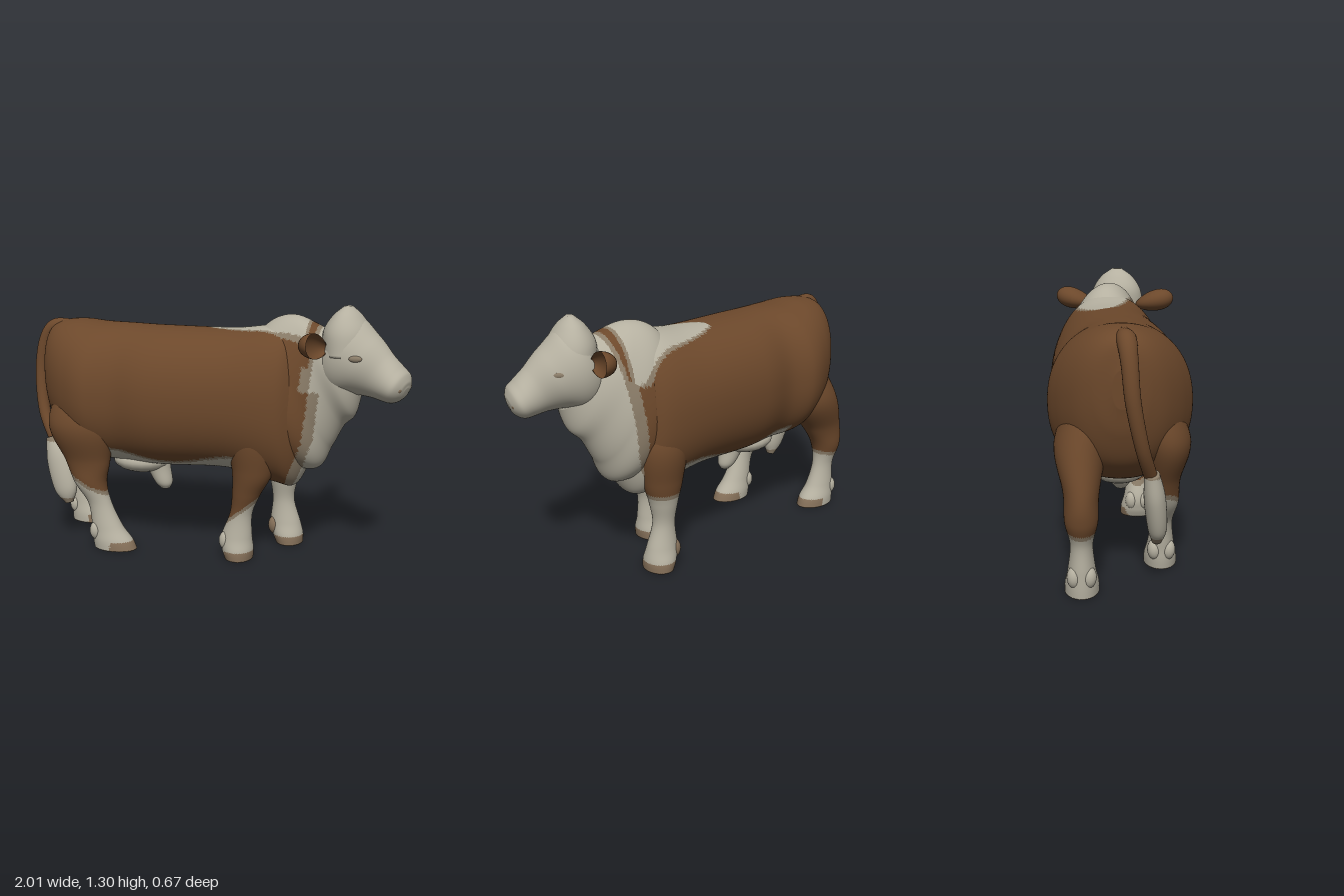
import * as THREE from 'three';

const mat = (name, color) => {
  const m = new THREE.MeshStandardMaterial({ color });
  m.name = name;
  return m;
};
const brown = mat('brownCoat', 0x6c482b);
const cream = mat('creamCoat', 0xb5b0a0);
const tan = mat('blendedCoat', 0x8a7c68);
const horn = mat('hoofHorn', 0x857059);
const palette = [brown, cream, tan, horn];
const BROWN = 0, CREAM = 1, TAN = 2, HORN = 3;

const V = (x, y, z) => new THREE.Vector3(x, y, z);
const TURN = 0.26; // the head is turned a little to its left
const HEAD_SIDE = V(-Math.sin(TURN), 0, Math.cos(TURN));

// Smooth skin over elliptical sections [x, y, z, radius across, radius sideways].
// axis fixes the plane of the rings; otherwise they follow the path. paint(x, y, z) picks the colour.
function loft(name, sections, { axis, side = V(0, 0, 1), power = 1, rows = 60, cols = 40, paint = () => CREAM }) {
  const path = new THREE.CatmullRomCurve3(sections.map(s => V(s[0], s[1], s[2])), false, 'catmullrom');
  const size = new THREE.CatmullRomCurve3(sections.map(s => V(s[3], s[4] ?? s[3], 0)), false, 'catmullrom');
  const pos = [], buckets = palette.map(() => []);
  const round = v => Math.sign(v) * Math.abs(v) ** power;
  for (let i = -1; i <= rows + 1; i++) {
    const t = Math.min(Math.max(i / rows, 0), 1);
    const c = path.getPoint(t), r = size.getPoint(t);
    const T = axis || path.getTangent(t);
    const n = side.clone().cross(T).normalize();
    const s = T.clone().cross(n).normalize();
    const k = i < 0 || i > rows ? 0.001 : 1; // closed ends
    for (let j = 0; j < cols; j++) {
      const a = (j / cols) * Math.PI * 2;
      const p = c.clone()
        .addScaledVector(n, k * r.x * round(Math.sin(a)))
        .addScaledVector(s, k * r.y * round(Math.cos(a)));
      pos.push(p.x, p.y, p.z);
    }
  }
  const mid = (a, b, c, o) => (pos[a * 3 + o] + pos[b * 3 + o] + pos[c * 3 + o]) / 3;
  const tri = (a, b, c) => buckets[paint(mid(a, b, c, 0), mid(a, b, c, 1), mid(a, b, c, 2))].push(a, b, c);
  for (let i = 0; i < rows + 2; i++) {
    for (let j = 0; j < cols; j++) {
      const a = i * cols + j, b = i * cols + (j + 1) % cols;
      tri(a, a + cols, b);
      tri(b, a + cols, b + cols);
    }
  }
  const geo = new THREE.BufferGeometry();
  geo.setAttribute('position', new THREE.Float32BufferAttribute(pos, 3));
  geo.setIndex(buckets.flat());
  let start = 0;
  buckets.forEach((b, m) => {
    if (b.length) geo.addGroup(start, b.length, m);
    start += b.length;
  });
  geo.computeVertexNormals();
  const mesh = new THREE.Mesh(geo, palette);
  mesh.name = name;
  return mesh;
}

function blob(name, material, [x, y, z], [sx, sy, sz], turn = 0) {
  const mesh = new THREE.Mesh(new THREE.SphereGeometry(1, 20, 14), material);
  mesh.name = name;
  mesh.position.set(x, y, z);
  mesh.scale.set(sx, sy, sz);
  mesh.rotation.y = turn;
  return mesh;
}

// Coat markings: pale saddle, pale chest and throat, pale belly
function coat(x, y, z) {
  const saddle = x > -0.05
    ? Math.min(0.16 * Math.sqrt((x + 0.05) / 0.5) - Math.abs(z + 0.075), 0.5 - x, y - (z > 0 ? 1.14 : 1)) : -1;
  const edge = y < 0.65 ? 0.4 + 0.4 * (y - 0.4) : 0.5 + 0.12 * (y - 0.65);
  const chest = x - edge - (y < 0.9 ? 0.05 * THREE.MathUtils.smoothstep(z, -0.02, 0.06) : 0);
  const belly = Math.min(0.52 + 0.03 * Math.sin(x * 9) - y, x + 0.52, 0.3 - x);
  if (saddle > 0 || chest > 0 || belly > 0) return CREAM;
  return saddle > -0.015 || chest > (y > 1.02 ? -0.02 : -0.05) || belly > -0.015 ? TAN : BROWN;
}

// Leg markings: horn sole and toe, pale sock with a sloping top, brown above
const sock = (top, slope, cx, toe) => (x, y) => {
  if (y < 0.014 || (y < 0.058 && x > toe)) return HORN;
  const d = top + slope * (x - cx) - y;
  return d > 0 ? CREAM : d > -0.02 ? TAN : BROWN;
};

// Leg shapes from the top down to the hoof, shared by each pair
const legY = [0.92, 0.68, 0.48, 0.36, 0.25, 0.13, 0.06, 0.012];
const foreShape = {
  across: [0.1, 0.13, 0.105, 0.074, 0.058, 0.08, 0.082, 0.072],
  sideways: [0.08, 0.105, 0.09, 0.07, 0.054, 0.07, 0.088, 0.09],
};
const hindShape = {
  across: [0.12, 0.18, 0.125, 0.088, 0.065, 0.085, 0.11, 0.118],
  sideways: [0.09, 0.12, 0.08, 0.074, 0.051, 0.062, 0.076, 0.079],
};

function leg(name, shape, z, xs, paint, clawMaterial) {
  const group = new THREE.Group();
  group.name = name;
  const sections = legY.map((y, i) => [xs[i], y, i ? z : z * 0.6, shape.across[i], shape.sideways[i]]);
  group.add(loft(name + 'Skin', sections, { axis: V(0, -1, 0), rows: 90, cols: 44, paint }));
  for (const s of [1, -1]) {
    group.add(blob('dewclaw', clawMaterial, [xs[5] - 0.05, 0.105, z + s * 0.032], [0.036, 0.05, 0.034]));
  }
  return group;
}

export function createModel() {
  const cow = new THREE.Group();
  cow.name = 'cow';

  // Barrel from rump to brisket: x, centre height, half height, half width
  cow.add(loft('body', [
    [-0.925, 0.95, 0.08, 0.04], [-0.9, 0.94, 0.2, 0.13], [-0.84, 0.895, 0.29, 0.21], [-0.73, 0.855, 0.343, 0.285],
    [-0.6, 0.828, 0.36, 0.328], [-0.45, 0.82, 0.365, 0.295], [-0.25, 0.814, 0.365, 0.318], [0.1, 0.817, 0.361, 0.302],
    [0.34, 0.8, 0.4, 0.275], [0.44, 0.765, 0.375, 0.215], [0.51, 0.71, 0.2, 0.1],
  ].map(([x, y, h, w]) => [x, y, -0.04 * THREE.MathUtils.smoothstep(x, -0.5, 0.3), h, w]),
  { axis: V(1, 0, 0), power: 0.92, rows: 210, cols: 130, paint: coat }));

  // Neck with crest and throat, rings leaning back
  cow.add(loft('neck', [
    [0.2, 0.77, -0.04, 0.29, 0.2], [0.38, 0.82, -0.045, 0.375, 0.23], [0.47, 0.92, -0.05, 0.35, 0.2],
    [0.55, 0.985, -0.035, 0.3, 0.165], [0.63, 1.0, -0.01, 0.248, 0.145], [0.7, 1.03, 0.01, 0.16, 0.11],
  ], { axis: V(0.9, 0.43, 0).normalize(), rows: 100, cols: 90, paint: coat }));

  // Head and muzzle: x, centre height, half height, half width
  cow.add(loft('head', [
    [0.57, 1.11, 0.08, 0.07], [0.63, 1.085, 0.18, 0.14], [0.7, 1.06, 0.2, 0.16], [0.78, 1.03, 0.158, 0.143],
    [0.86, 0.99, 0.118, 0.108], [0.92, 0.958, 0.095, 0.113], [0.958, 0.94, 0.08, 0.108], [0.982, 0.93, 0.05, 0.07],
    [0.99, 0.927, 0.02, 0.03],
  ].map(([x, y, h, w]) => [x, y, 0.27 * (x - 0.67), h, w]),
  { side: HEAD_SIDE, rows: 70, cols: 48, paint: x => (x < 0.59 ? TAN : CREAM) }));

  // Domed poll and forehead
  cow.add(loft('poll', [
    [0.7, 1.08, 0.015, 0.12, 0.155], [0.69, 1.19, 0.015, 0.112, 0.138],
    [0.688, 1.265, 0.015, 0.068, 0.092], [0.69, 1.312, 0.015, 0.018, 0.028],
  ], { axis: V(0, 1, 0), side: HEAD_SIDE, rows: 30, cols: 40 }));

  // Cupped ear: the front half of a ball pushed inward
  const earGeo = new THREE.SphereGeometry(1, 32, 24);
  const ep = earGeo.attributes.position;
  for (let i = 0; i < ep.count; i++) {
    const x = ep.getX(i), z = ep.getZ(i);
    ep.setXYZ(i, (x > 0 ? -0.5 * x : x) * 0.08, ep.getY(i) * 0.068 * (0.85 + 0.2 * z), z * 0.11);
  }
  earGeo.computeVertexNormals();

  for (const s of [1, -1]) {
    const at = (x, y, z, d) => [x + HEAD_SIDE.x * s * d, y, z + HEAD_SIDE.z * s * d];
    const ear = new THREE.Mesh(earGeo, brown);
    ear.name = 'ear';
    ear.position.set(...at(0.648, 1.138, 0, 0.235));
    ear.rotation.set(-0.25, s > 0 ? -TURN : Math.PI - TURN, 0, 'YXZ');
    ear.scale.x = s; // mirrored so the cup always faces forward
    cow.add(ear);
    cow.add(blob('eye', tan, at(0.79, 1.08, 0.035, 0.131), [0.032, 0.016, 0.012], s * 0.35 - TURN));
    cow.add(blob('nostril', horn, at(0.972, 0.942, 0.082, 0.062), [0.018, 0.016, 0.018], TURN));
  }

  // Legs
  cow.add(leg('leftForeleg', foreShape, 0.115, [0.25, 0.25, 0.25, 0.22, 0.192, 0.17, 0.175, 0.182], sock(0.25, 0.8, 0.19, 0.12), cream));
  cow.add(leg('rightForeleg', foreShape, -0.2, [0.32, 0.335, 0.335, 0.333, 0.333, 0.345, 0.36, 0.37], sock(0.4, 0, 0.36, 0.3), horn));
  cow.add(leg('leftHindLeg', hindShape, 0.195, [-0.66, -0.66, -0.63, -0.615, -0.565, -0.525, -0.495, -0.48], sock(0.33, -0.5, -0.58, -0.48), cream));
  cow.add(leg('rightHindLeg', hindShape, -0.175, [-0.67, -0.71, -0.83, -0.87, -0.855, -0.835, -0.81, -0.8], sock(0.31, 0.2, -0.83, -0.79), cream));

  // Belly swelling and sheath
  cow.add(blob('lowerBelly', cream, [-0.4, 0.46, 0], [0.16, 0.07, 0.14]));
  cow.add(loft('sheath', [
    [-0.34, 0.5, 0, 0.09], [-0.305, 0.42, 0.005, 0.065], [-0.275, 0.345, 0.01, 0.048], [-0.265, 0.31, 0.012, 0.024],
  ], { axis: V(0, -1, 0), rows: 24, cols: 28 }));

  // Tail arching off the rump, with its brush
  cow.add(loft('tail', [
    [-0.8, 1.15, 0.01, 0.045], [-0.89, 1.145, 0.02, 0.043], [-0.945, 1.06, 0.03, 0.037],
    [-0.965, 0.9, 0.045, 0.034], [-0.935, 0.7, 0.085, 0.031], [-0.85, 0.54, 0.13, 0.03],
  ], { rows: 60, cols: 24, paint: () => BROWN }));
  cow.add(loft('tailBrush', [
    [-0.87, 0.57, 0.13, 0.033], [-0.83, 0.45, 0.145, 0.066, 0.048],
    [-0.785, 0.3, 0.16, 0.065, 0.044], [-0.765, 0.22, 0.16, 0.022],
  ], { rows: 40, cols: 32, paint: (x, y) => (y < 0.25 || y > 0.55 ? TAN : CREAM) }));

  return cow;
}
